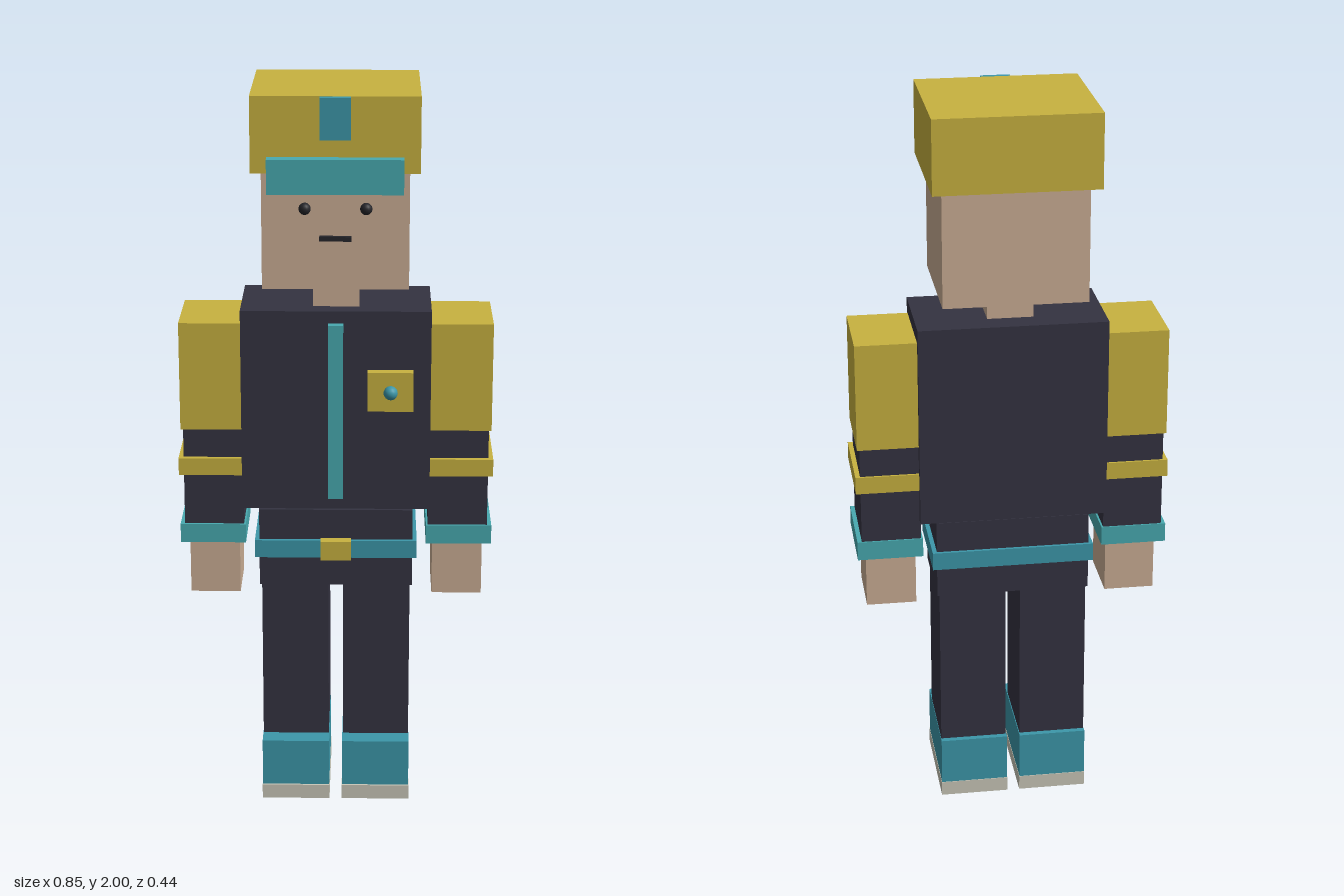
import * as THREE from 'three';

const mat = (name, color) => {
  const m = new THREE.MeshStandardMaterial({ color });
  m.name = name;
  return m;
};

export function createModel() {
  const gold = mat('gold', 0xc8b240);
  const navy = mat('dark cloth', 0x343341);
  const skin = mat('skin', 0xcbae94);
  const aqua = mat('aqua trim', 0x48aab0);
  const teal = mat('teal', 0x3c97a9);
  const sole = mat('sole grey', 0xc9c7b8);
  const black = mat('black', 0x25252a);

  const model = new THREE.Group();
  model.name = 'figure';

  // Box given by its extents on each axis
  const box = (parent, name, material, [x0, x1], [y0, y1], [z0, z1]) => {
    const mesh = new THREE.Mesh(new THREE.BoxGeometry(x1 - x0, y1 - y0, z1 - z0), material);
    mesh.position.set((x0 + x1) / 2, (y0 + y1) / 2, (z0 + z1) / 2);
    mesh.name = name;
    parent.add(mesh);
  };
  const ball = (parent, name, material, r, x, y, z) => {
    const mesh = new THREE.Mesh(new THREE.SphereGeometry(r, 16, 12), material);
    mesh.position.set(x, y, z);
    mesh.name = name;
    parent.add(mesh);
  };
  const group = (name) => {
    const g = new THREE.Group();
    g.name = name;
    model.add(g);
    return g;
  };

  // Head and face
  const head = group('head');
  box(head, 'neck', skin, [-0.062, 0.062], [1.41, 1.49], [-0.085, 0.065]);
  box(head, 'face', skin, [-0.193, 0.193], [1.487, 1.81], [-0.19, 0.16]);
  for (const s of [-1, 1]) ball(head, 'eye', black, 0.016, s * 0.08, 1.703, 0.163);
  box(head, 'mouth', black, [-0.042, 0.042], [1.619, 1.631], [0.158, 0.176]);

  // Cap with visor and crest
  const cap = group('cap');
  box(cap, 'capCrown', gold, [-0.22, 0.22], [1.8, 2], [-0.22, 0.184]);
  box(cap, 'visor', aqua, [-0.177, 0.177], [1.752, 1.843], [0.178, 0.219]);
  box(cap, 'crest', teal, [-0.04, 0.04], [1.89, 1.999], [-0.2, 0.203]);

  // Jacket
  const jacket = group('jacket');
  box(jacket, 'torso', navy, [-0.255, 0.255], [0.858, 1.415], [-0.152, 0.117]);
  box(jacket, 'zipper', aqua, [-0.02, 0.02], [0.895, 1.382], [0.112, 0.142]);
  box(jacket, 'badge', gold, [0.085, 0.208], [1.146, 1.254], [0.112, 0.147]);
  ball(jacket, 'badgeButton', teal, 0.019, 0.147, 1.2, 0.153);

  // Hips and belt
  const hips = group('hips');
  box(hips, 'pelvis', navy, [-0.21, 0.21], [0.63, 0.85], [-0.137, 0.106]);
  box(hips, 'belt', teal, [-0.222, 0.222], [0.714, 0.764], [-0.146, 0.117]);
  box(hips, 'buckle', gold, [-0.042, 0.042], [0.714, 0.769], [0.11, 0.139]);

  // Arms and legs, mirrored
  for (const s of [-1, 1]) {
    const side = s > 0 ? 'left' : 'right';
    const span = (a, b) => (s > 0 ? [a, b] : [-b, -a]);

    const arm = group(side + 'Arm');
    box(arm, 'shoulder', gold, span(0.25, 0.421), [1.078, 1.376], [-0.136, 0.1]);
    box(arm, 'sleeve', navy, span(0.252, 0.414), [0.8, 1.08], [-0.13, 0.098]);
    box(arm, 'armBand', gold, span(0.247, 0.427), [0.951, 0.999], [-0.136, 0.112]);
    box(arm, 'cuff', aqua, span(0.247, 0.426), [0.753, 0.806], [-0.134, 0.105]);
    box(arm, 'hand', skin, span(0.265, 0.402), [0.598, 0.76], [-0.1, 0.08]);

    const leg = group(side + 'Leg');
    box(leg, 'trouser', navy, span(0.02, 0.204), [0.17, 0.635], [-0.134, 0.1]);
    box(leg, 'boot', teal, span(0.018, 0.205), [0.04, 0.175], [-0.15, 0.154]);
    box(leg, 'bootSole', sole, span(0.017, 0.206), [0, 0.041], [-0.152, 0.16]);
  }
  return model;
}
